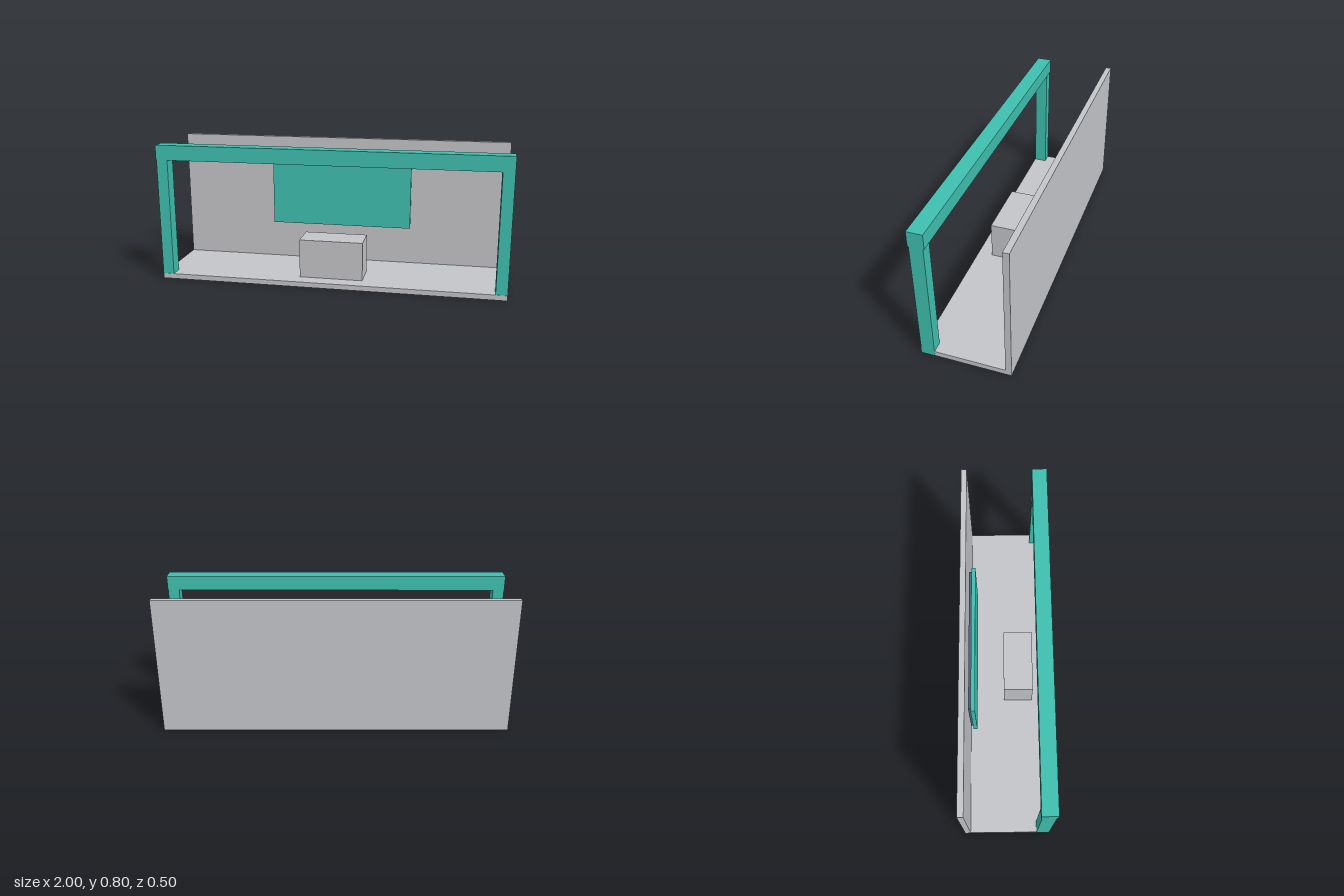
import * as THREE from 'three';

export function createModel() {
  const group = new THREE.Group();
  const material = (name, color) => {
    const m = new THREE.MeshStandardMaterial({ color });
    m.name = name;
    return m;
  };
  const grey = material('light grey', 0xc4c5c9);
  const teal = material('teal', 0x3fc0b0);
  const slate = material('slate blue', 0x47617d);

  // Box given by its extents on each axis
  const block = (name, mat, [x0, x1], [y0, y1], [z0, z1]) => {
    const mesh = new THREE.Mesh(new THREE.BoxGeometry(x1 - x0, y1 - y0, z1 - z0), mat);
    mesh.position.set((x0 + x1) / 2, (y0 + y1) / 2, (z0 + z1) / 2);
    mesh.name = name;
    group.add(mesh);
  };

  // Booth shell: floor and rear wall, set just inside the posts' outer faces
  block('floor', grey, [-0.999, 0.999], [0.001, 0.031], [-0.218, 0.248]);
  block('backWall', grey, [-0.999, 0.999], [0.001, 0.801], [-0.251, -0.218]);

  // Front portal frame
  block('leftPost', teal, [0.935, 1], [0, 0.715], [0.171, 0.246]);
  block('rightPost', teal, [-1, -0.935], [0, 0.715], [0.171, 0.246]);
  block('topBeam', teal, [-1, 1], [0.715, 0.801], [0.165, 0.252]);

  // Reception counter
  block('counter', grey, [-0.185, 0.185], [0.031, 0.257], [-0.013, 0.162]);

  // Display panel floating in front of the wall, with its backing plate
  block('displayPanel', teal, [-0.426, 0.426], [0.264, 0.663], [-0.193, -0.17]);
  block('displayBacking', slate, [-0.41, 0.41], [0.285, 0.642], [-0.207, -0.193]);

  return group;
}
